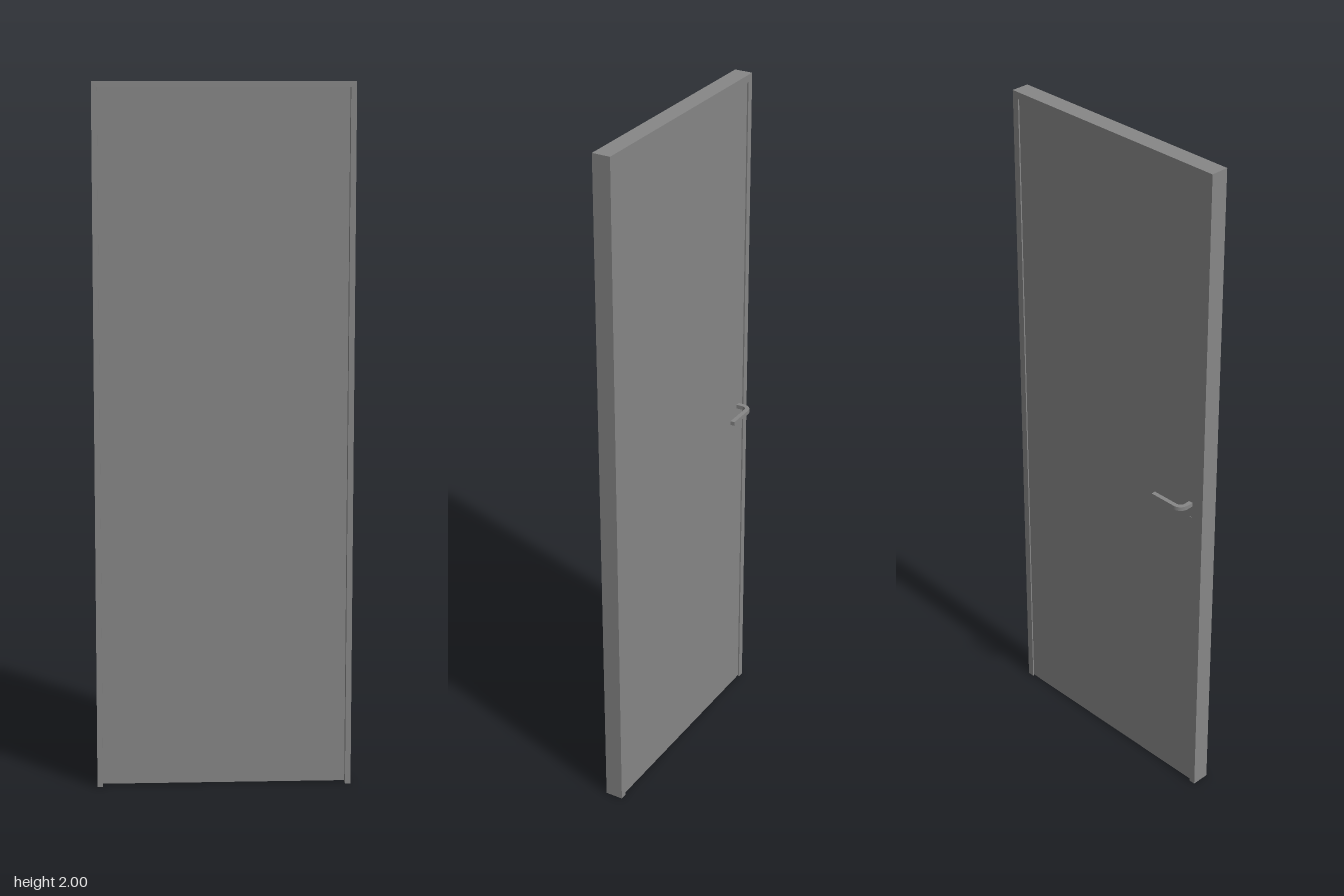
import * as THREE from 'three';

const material = new THREE.MeshStandardMaterial({ color: 0x868686 });

function part(name, geometry, x = 0, y = 0, z = 0) {
  const mesh = new THREE.Mesh(geometry, material);
  mesh.name = name;
  mesh.position.set(x, y, z);
  return mesh;
}

const halfWidth = 0.365, height = 2;

// Two jambs and a header in one piece, open at the floor
function surround(name, width, back, front) {
  const inner = halfWidth - width;
  const outline = new THREE.Shape([
    [-halfWidth, 0], [-inner, 0], [-inner, height - width], [inner, height - width],
    [inner, 0], [halfWidth, 0], [halfWidth, height], [-halfWidth, height],
  ].map(([x, y]) => new THREE.Vector2(x, y)));
  const geometry = new THREE.ExtrudeGeometry(outline, { depth: front - back, bevelEnabled: false });
  return part(name, geometry, 0, 0, back);
}

export function createModel() {
  const door = new THREE.Group();
  door.name = 'door';

  // Frame with a slightly wider stop along its back edge
  const jamb = 0.016, back = -0.006, leafBack = -0.002, leafFront = 0.026;
  door.add(
    surround('frame', jamb, leafBack, 0.047),
    surround('frameStop', 0.02, back, leafBack));

  // Leaf: fills the frame, recessed at the front, just clear of the floor
  const floorGap = 0.003, leafHeight = height - jamb - floorGap;
  door.add(part('leaf',
    new THREE.BoxGeometry(2 * (halfWidth - jamb), leafHeight, leafFront - leafBack),
    0, floorGap + leafHeight / 2, (leafBack + leafFront) / 2));

  // Lever handle: flat bar with a rounded corner, drawn in plan (y of the shape is -z)
  const left = -0.324, right = -0.311, tip = -0.213;
  const outer = 0.049, innerEdge = 0.036, outerR = 0.028, innerR = 0.015;
  const cx = left + outerR, cy = outer - outerR;
  const plan = new THREE.Shape();
  plan.moveTo(left, -leafBack);
  plan.lineTo(right, -leafBack);
  plan.lineTo(right, cy);
  plan.absarc(cx, cy, innerR, Math.PI, Math.PI / 2, true);
  plan.lineTo(tip, innerEdge);
  plan.lineTo(tip, outer);
  plan.lineTo(cx, outer);
  plan.absarc(cx, cy, outerR, Math.PI / 2, Math.PI, false);
  const thickness = 0.012;
  const handle = part('handle',
    new THREE.ExtrudeGeometry(plan, { depth: thickness, bevelEnabled: false, curveSegments: 12 }),
    0, 0.992 - thickness / 2, 0);
  handle.rotation.x = -Math.PI / 2;
  door.add(handle);

  // Small lock barrel below the handle
  const lock = part('lockBarrel', new THREE.CylinderGeometry(0.005, 0.005, 0.002, 20),
    (left + right) / 2, 0.945, leafBack);
  lock.rotation.x = Math.PI / 2;
  door.add(lock);

  return door;
}
